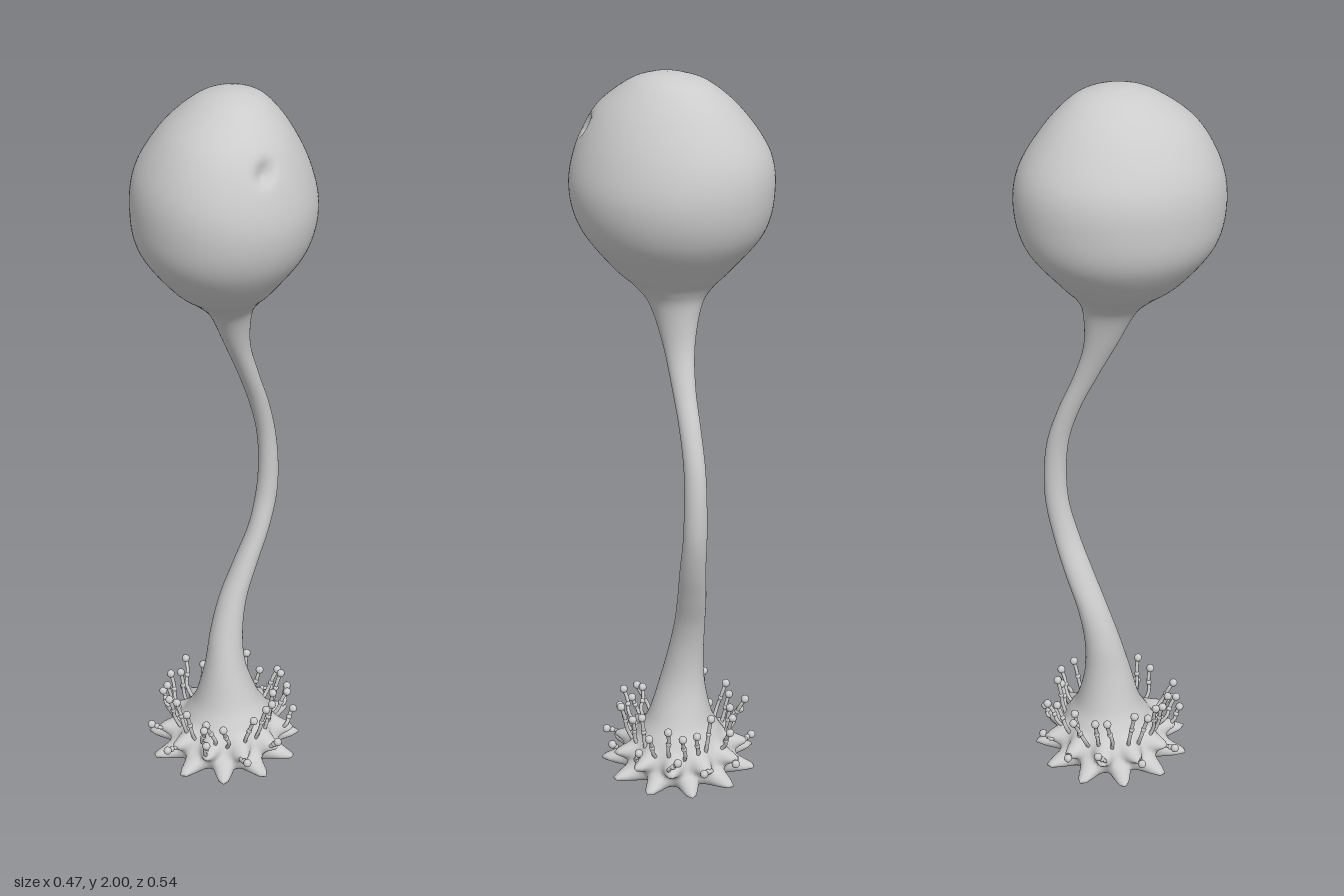
import * as THREE from 'three';
import { mergeVertices } from 'three/addons/utils/BufferGeometryUtils.js';

const material = new THREE.MeshStandardMaterial({ color: 0xcccccc });
const SEGMENTS = 96, STEPS = 8, LOBES = 11;
const BASE_Z = -0.025;

// Cross-sections from foot to crown: y, x min, x max, z min, z max
const sections = [
  [0, 0, 0, -0.025, -0.025],
  [0.008, -0.09, 0.09, -0.115, 0.065],
  [0.03, -0.135, 0.135, -0.16, 0.11],
  [0.065, -0.15, 0.15, -0.175, 0.125],
  [0.1, -0.14, 0.15, -0.17, 0.11],
  [0.15, -0.105, 0.125, -0.145, 0.08],
  [0.2, -0.08, 0.095, -0.12, 0.055],
  [0.3, -0.055, 0.06, -0.1, 0.028],
  [0.4, -0.04, 0.052, -0.1, 0],
  [0.5, -0.015, 0.063, -0.115, -0.03],
  [0.6, 0.025, 0.093, -0.14, -0.06],
  [0.7, 0.065, 0.125, -0.16, -0.088],
  [0.8, 0.086, 0.145, -0.175, -0.11],
  [0.9, 0.092, 0.147, -0.177, -0.115],
  [1.0, 0.085, 0.137, -0.167, -0.108],
  [1.1, 0.064, 0.117, -0.14, -0.082],
  [1.2, 0.035, 0.09, -0.107, -0.042],
  [1.3, 0, 0.068, -0.087, 0.002],
  [1.4, -0.04, 0.072, -0.092, 0.05],
  [1.45, -0.085, 0.095, -0.113, 0.1],
  [1.5, -0.142, 0.137, -0.158, 0.165],
  [1.6, -0.218, 0.21, -0.24, 0.245],
  [1.7, -0.236, 0.235, -0.267, 0.27],
  [1.8, -0.222, 0.216, -0.255, 0.255],
  [1.9, -0.16, 0.168, -0.19, 0.2],
  [1.97, -0.08, 0.11, -0.115, 0.11],
  [1.995, -0.02, 0.06, -0.05, 0.045],
  [2, 0.02, 0.02, 0, 0],
];

const bump = (d, width) => Math.exp(-(d * d) / (width * width));
const lobe = (a) => Math.pow(0.5 + 0.5 * Math.cos(a), 1.5);

// Foot lobes: a lower row, and a smaller upper row set between them
function lobeReach(y, a) {
  return 0.075 * bump(y - 0.045, 0.022) * lobe(a * LOBES)
    + 0.05 * bump(y - 0.1, 0.022) * lobe(a * LOBES + Math.PI);
}

function bodyGeometry() {
  const xCurve = new THREE.CatmullRomCurve3(
    sections.map((s) => new THREE.Vector3(s[1], s[0], s[2])), false, 'catmullrom');
  const zCurve = new THREE.CatmullRomCurve3(
    sections.map((s) => new THREE.Vector3(s[3], s[0], s[4])), false, 'catmullrom');
  const rings = (sections.length - 1) * STEPS;
  const pit = new THREE.Vector3(0.1, 1.86, 0.2);
  const positions = [], index = [], p = new THREE.Vector3();

  for (let i = 0; i <= rings; i++) {
    const x = xCurve.getPoint(i / rings), z = zCurve.getPoint(i / rings);
    const y = THREE.MathUtils.clamp(x.y, 0, 2);
    const cx = (x.x + x.z) / 2, cz = (z.x + z.z) / 2;
    const rx = Math.max(0, (x.z - x.x) / 2), rz = Math.max(0, (z.z - z.x) / 2);
    for (let j = 0; j < SEGMENTS; j++) {
      const a = (j / SEGMENTS) * Math.PI * 2;
      const reach = i > 1 && y < 0.2 ? lobeReach(y, a) * Math.min(1, rx / 0.13) : 0;
      p.set(cx + Math.sin(a) * (rx + reach), y, cz + Math.cos(a) * (rz + reach));
      // Small pit in the bulb
      const dent = y > 1.7 ? 0.03 * bump(Math.hypot(p.x - pit.x, p.y - pit.y, (p.z - pit.z) * 0.7), 0.02) : 0;
      positions.push(p.x - Math.sin(a) * dent * 0.6, p.y - dent * 0.5, p.z - Math.cos(a) * dent);
    }
  }
  for (let i = 0; i < rings; i++) {
    for (let j = 0; j < SEGMENTS; j++) {
      const k = (j + 1) % SEGMENTS, a = i * SEGMENTS, b = a + SEGMENTS;
      index.push(a + j, a + k, b + k, a + j, b + k, b + j);
    }
  }
  let geometry = new THREE.BufferGeometry();
  geometry.setAttribute('position', new THREE.Float32BufferAttribute(positions, 3));
  geometry.setIndex(index);
  geometry = mergeVertices(geometry, 1e-5);
  geometry.computeVertexNormals();
  return geometry;
}

let seed = 7;
function random(min, max) {
  seed = (seed * 16807) % 2147483647;
  return min + (max - min) * (seed / 2147483647);
}

// A thin curved filament with a bead halfway and a ball at the tip
function filament(name, angle, r0, y0, r1, y1) {
  const group = new THREE.Group();
  group.name = name;
  const at = (r, y, twist) => new THREE.Vector3(
    Math.sin(angle + twist) * r, y, BASE_Z + Math.cos(angle + twist) * r);
  const twist = random(-0.12, 0.12);
  const curve = new THREE.CatmullRomCurve3([
    at(r0, y0, 0),
    at(r0 + (r1 - r0) * 0.55, y0 + (y1 - y0) * 0.4, -twist * 0.4),
    at(r0 + (r1 - r0) * 0.75, y0 + (y1 - y0) * 0.75, twist * 0.7),
    at(r1, y1, twist),
  ]);
  group.add(new THREE.Mesh(new THREE.TubeGeometry(curve, 10, 0.0055, 7), material));
  for (const [t, r] of [[0.55, 0.008], [1, 0.0115]]) {
    const ball = new THREE.Mesh(new THREE.SphereGeometry(r, 10, 8), material);
    ball.position.copy(curve.getPoint(t));
    group.add(ball);
  }
  return group;
}

export function createModel() {
  const model = new THREE.Group();
  model.name = 'stalkedPolyp';

  const body = new THREE.Mesh(bodyGeometry(), material);
  body.name = 'bulbStalkAndFoot';
  model.add(body);

  // Tall inner filaments and short outer ones around the foot
  for (let i = 0; i < LOBES * 2; i++) {
    const a = ((i + 0.5) / (LOBES * 2)) * Math.PI * 2;
    model.add(filament('innerFilament', a + random(-0.08, 0.08), 0.125, 0.1,
      random(0.14, 0.19), random(0.19, 0.245)));
  }
  for (let i = 0; i < LOBES; i++) {
    const a = ((i + 0.5) / LOBES) * Math.PI * 2;
    model.add(filament('outerFilament', a, 0.165, 0.095,
      random(0.195, 0.212), random(0.09, 0.16)));
  }
  return model;
}
